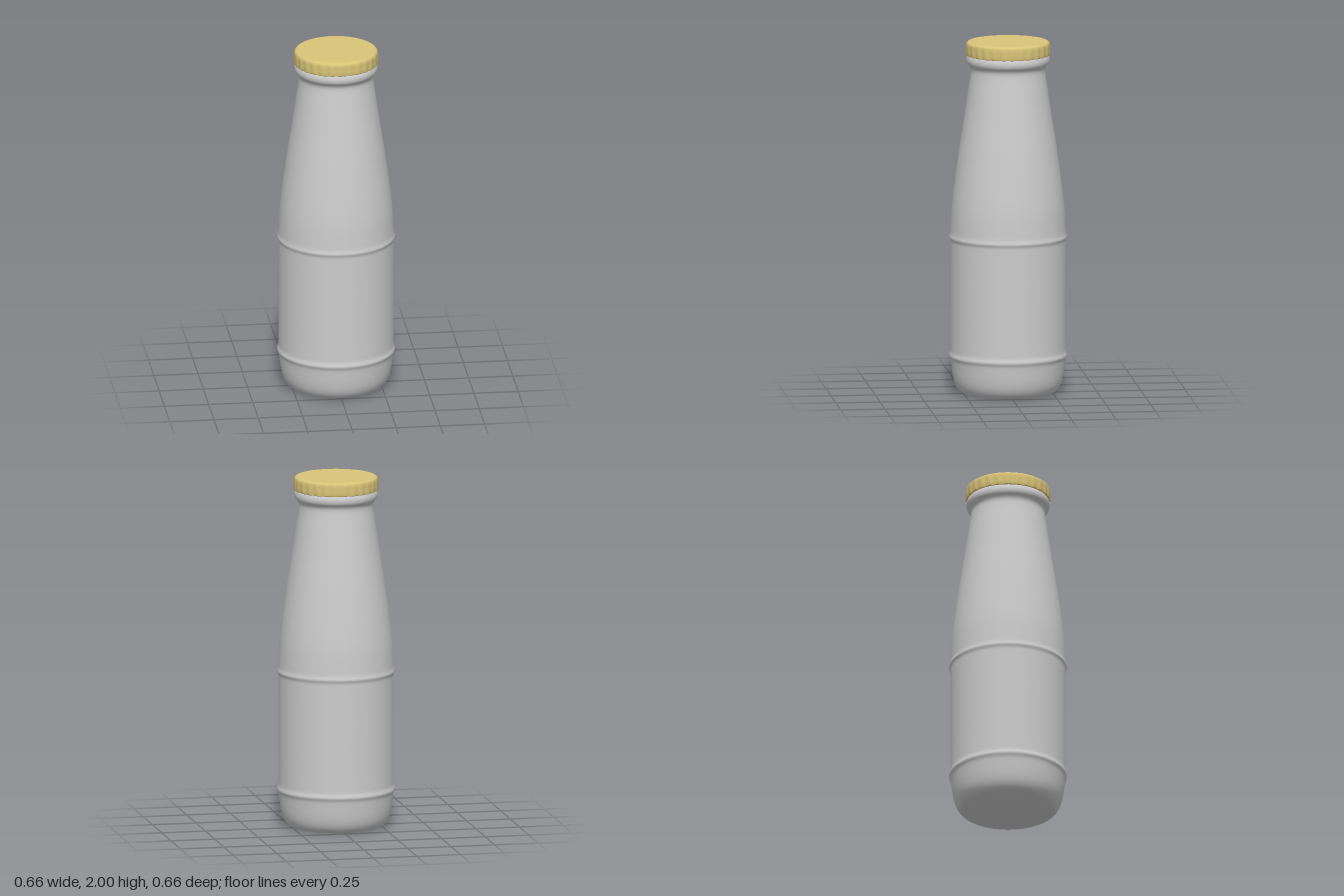
import * as THREE from 'three';
import { mergeVertices } from 'three/addons/utils/BufferGeometryUtils.js';

const toPoints = (rows) => rows.map(([r, y]) => new THREE.Vector2(r, y));

export function createModel() {
  const model = new THREE.Group();
  const glass = new THREE.MeshStandardMaterial({ color: 0xcccccc });
  const gold = new THREE.MeshStandardMaterial({ color: 0xd9c578, side: THREE.DoubleSide });

  // Bottle: rounded base, two raised rings, tapering shoulder, neck and lip
  const profile = toPoints([
    [0, 0], [0.15, 0], [0.235, 0.002], [0.272, 0.016], [0.296, 0.05], [0.31, 0.1], [0.319, 0.17],
    [0.323, 0.196], [0.331, 0.216], [0.325, 0.238], [0.324, 0.27],
    [0.324, 0.55], [0.324, 0.85], [0.325, 0.872], [0.331, 0.89], [0.326, 0.91], [0.323, 0.96],
    [0.317, 1.06], [0.301, 1.2], [0.273, 1.4], [0.245, 1.58], [0.221, 1.74], [0.209, 1.82],
    [0.209, 1.845], [0.216, 1.86], [0.229, 1.875], [0.234, 1.892], [0.232, 1.91], [0.222, 1.93], [0.205, 1.95],
  ]);
  // Thin each curve step so the silhouette stays smooth
  const smooth = new THREE.CatmullRomCurve3(profile.map((p) => new THREE.Vector3(p.x, p.y, 0)), false, 'centripetal')
    .getPoints((profile.length - 1) * 3)
    .map((p) => new THREE.Vector2(Math.max(p.x, 0), Math.max(p.y, 0)));
  const bottle = new THREE.Mesh(new THREE.LatheGeometry(smooth, 64), glass);
  bottle.name = 'bottle';
  model.add(bottle);

  // Cap: rounded disc with a gently crimped skirt
  const capGeometry = new THREE.LatheGeometry(toPoints([
    [0.2, 1.924], [0.231, 1.922], [0.235, 1.926], [0.235, 1.945], [0.235, 1.97],
    [0.2345, 1.984], [0.231, 1.993], [0.224, 1.998], [0.212, 2], [0.1, 2], [0, 2],
  ]), 168);
  const pos = capGeometry.attributes.position;
  for (let i = 0; i < pos.count; i++) {
    const x = pos.getX(i), z = pos.getZ(i), r = Math.hypot(x, z);
    if (r < 0.22) continue;
    const fade = THREE.MathUtils.clamp((2 - pos.getY(i)) / 0.04, 0, 1);
    const k = 1 + (0.0025 * fade * Math.cos(28 * Math.atan2(x, z))) / r;
    pos.setX(i, x * k);
    pos.setZ(i, z * k);
  }
  capGeometry.deleteAttribute('normal');
  capGeometry.deleteAttribute('uv');
  const crimped = mergeVertices(capGeometry, 1e-5);
  crimped.computeVertexNormals();
  const cap = new THREE.Mesh(crimped, gold);
  cap.name = 'cap';
  model.add(cap);

  return model;
}
